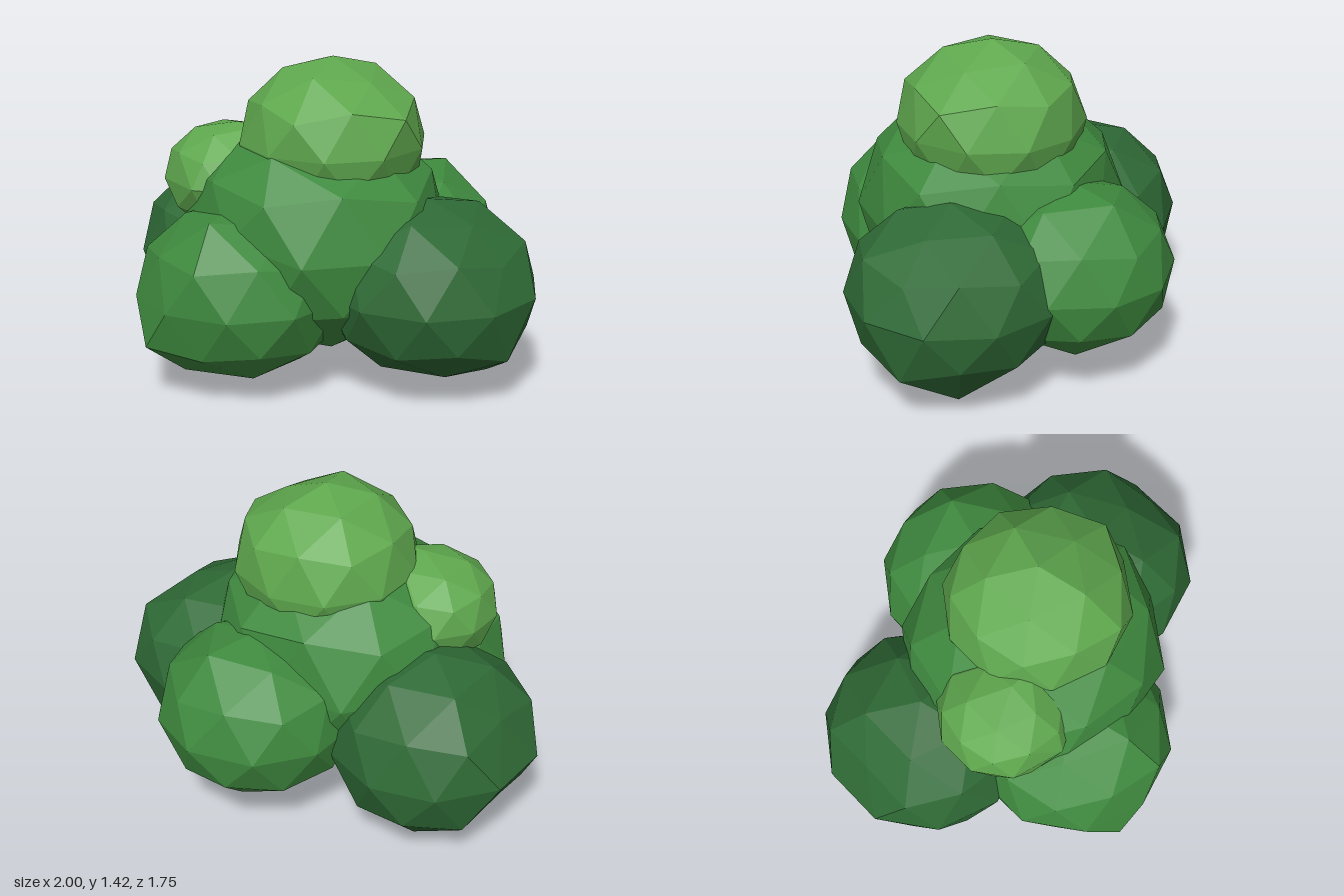
import * as THREE from 'three';

const DARK = 0x2f6a36, MID = 0x3f8a3f, LIGHT = 0x5fa84e;

// Leaf clumps: centre, horizontal radius, vertical radius,
// and corners pulled to a new place so that the clumps look irregular
const CLUMPS = [
  { name: 'centreClump', color: MID, centre: [0.02, 0.655, 0.05], radius: 0.6, height: 0.53,
    corners: [[0.59, 0.88, 0.05], [0.1, 1.06, 0.42], [0.02, 0.72, 0.61], [0.02, 0.66, -0.5], [0.38, 1.05, 0.05]] },
  { name: 'leftClump', color: DARK, centre: [0.55, 0.47, -0.1], radius: 0.475, height: 0.395,
    corners: [[0.77, 0.78, -0.1], [0.93, 0.63, -0.1], [0.97, 0.22, -0.1], [0.76, 0.08, -0.25], [0.55, 0.86, -0.08]] },
  { name: 'rightClump', color: DARK, centre: [-0.55, 0.425, -0.06], radius: 0.47, height: 0.425,
    corners: [[-0.51, 0.005, -0.05], [-0.89, 0.65, -0.06], [-0.91, 0.27, -0.06], [-0.76, 0.08, -0.06]] },
  { name: 'frontClump', color: MID, centre: [-0.09, 0.44, 0.41], radius: 0.465, height: 0.39,
    corners: [[0, 0.05, 0.46], [0.04, 0.63, 0.83], [-0.22, 0.26, 0.87], [-0.015, 0.81, 0.68], [-0.18, 0.11, 0.68]] },
  { name: 'backClump', color: MID, centre: [0.13, 0.5, -0.42], radius: 0.455, height: 0.38,
    corners: [[0.2, 0.855, -0.66], [0.15, 0.5, -0.875]] },
  { name: 'topClump', color: LIGHT, centre: [0.085, 1.06, 0.01], radius: 0.415, height: 0.37,
    corners: [[0.49, 1.21, 0.01], [0.2, 1.21, 0.39], [0.3, 1.34, 0.01], [0.085, 1.05, -0.39]] },
  { name: 'smallClump', color: LIGHT, centre: [-0.33, 0.87, 0.23], radius: 0.295, height: 0.25,
    corners: [[-0.28, 1.12, 0.23], [-0.17, 1.11, 0.23], [-0.27, 0.87, 0.53]] },
];

// Move the corner nearest to the target onto it, in every face that shares it
function pullCorner(geometry, target) {
  const position = geometry.attributes.position;
  const points = Array.from({ length: position.count }, (_, i) => new THREE.Vector3().fromBufferAttribute(position, i));
  const nearest = points.reduce((a, b) => (b.distanceTo(target) < a.distanceTo(target) ? b : a));
  points.forEach((p, i) => {
    if (p.distanceTo(nearest) < 1e-4) position.setXYZ(i, target.x, target.y, target.z);
  });
}

// Faceted ball standing on one corner, slightly flattened
function clump({ name, color, centre, radius, height, corners }) {
  const geometry = new THREE.IcosahedronGeometry(1, 1);
  geometry.rotateZ(-Math.atan(2 / (1 + Math.sqrt(5))));
  geometry.scale(radius, height, radius);
  const origin = new THREE.Vector3(...centre);
  for (const corner of corners) pullCorner(geometry, new THREE.Vector3(...corner).sub(origin));
  geometry.computeVertexNormals();
  const material = new THREE.MeshStandardMaterial({ color, flatShading: true });
  const mesh = new THREE.Mesh(geometry, material);
  mesh.name = name;
  mesh.position.copy(origin);
  return mesh;
}

export function createModel() {
  const bush = new THREE.Group();
  bush.name = 'bush';
  for (const spec of CLUMPS) bush.add(clump(spec));
  return bush;
}
